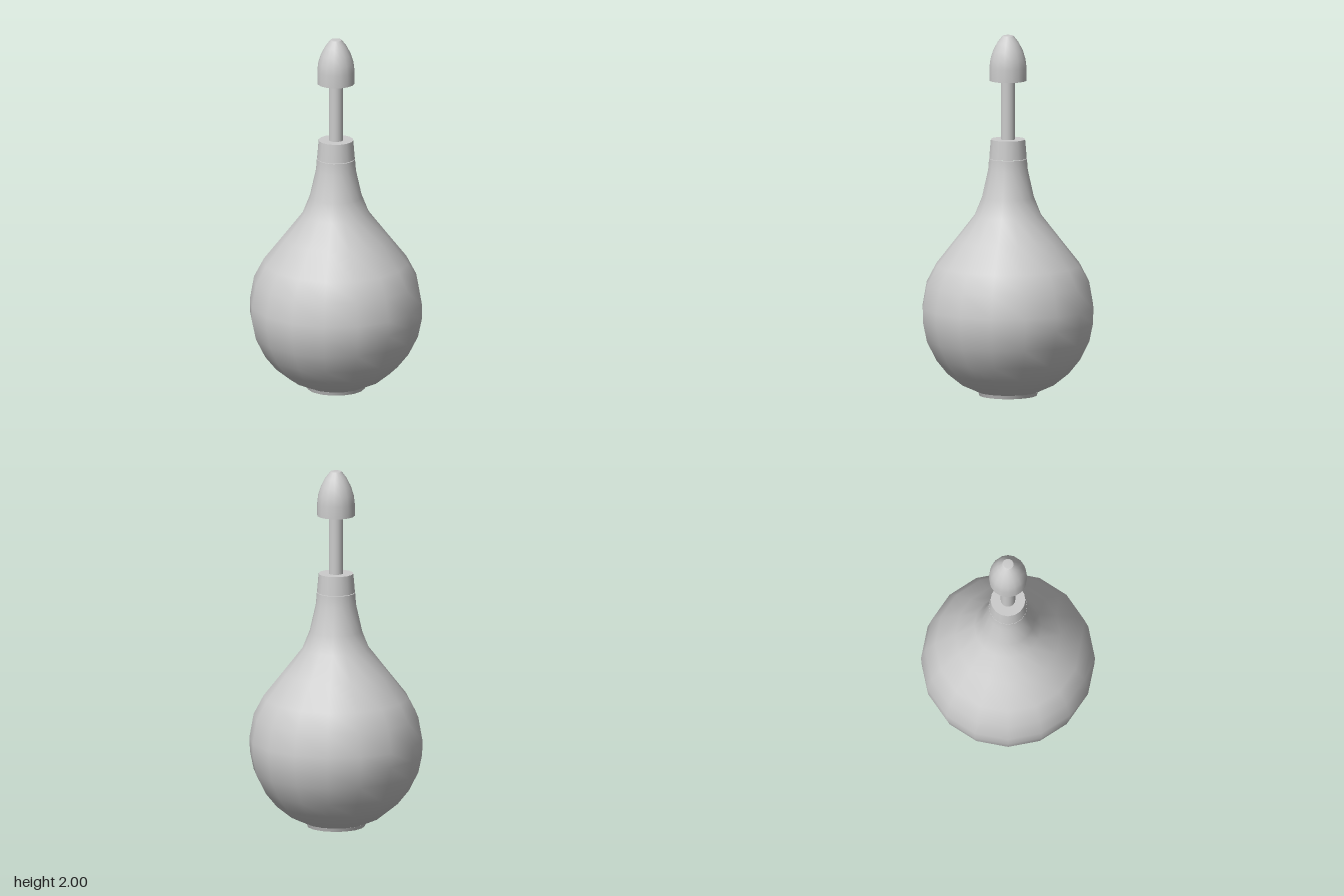
import * as THREE from 'three';

const SIDES = 16;

export function createModel() {
  const model = new THREE.Group();
  const material = new THREE.MeshStandardMaterial({ color: 0xcccccc });

  // Each smooth strip is its own lathe, so the edges between strips stay sharp.
  function turned(name, ...strips) {
    const part = new THREE.Group();
    part.name = name;
    strips.forEach((profile, i) => {
      const points = profile.map(([r, y]) => new THREE.Vector2(r, y));
      const mesh = new THREE.Mesh(new THREE.LatheGeometry(points, SIDES), material);
      mesh.name = `${name}Surface${i + 1}`;
      part.add(mesh);
    });
    model.add(part);
  }

  // Low round foot
  turned('foot',
    [[0, 0], [0.16, 0]],
    [[0.16, 0], [0.167, 0.02]],
    [[0.167, 0.02], [0.14, 0.02]]);

  // Squeezable bulb flowing into the neck
  turned('bulb',
    [[0.155, 0.015], [0.255, 0.06], [0.34, 0.128], [0.402, 0.205], [0.455, 0.31],
      [0.476, 0.41], [0.478, 0.49], [0.455, 0.62], [0.4, 0.725], [0.29, 0.865],
      [0.185, 1.0], [0.145, 1.1], [0.111, 1.25], [0.106, 1.315]],
    [[0.106, 1.315], [0.09, 1.315]]);

  // Tapered collar closing the neck
  turned('collar',
    [[0.09, 1.318], [0.105, 1.318]],
    [[0.105, 1.318], [0.096, 1.423]],
    [[0.096, 1.423], [0, 1.423]]);

  // Thin stem
  turned('stem', [[0.04, 1.42], [0.04, 1.752]]);

  // Bullet-shaped nozzle with a small flat end
  turned('nozzle',
    [[0, 1.75], [0.104, 1.75]],
    [[0.104, 1.75], [0.104, 1.82], [0.098, 1.868], [0.083, 1.915], [0.06, 1.96], [0.031, 1.998]],
    [[0.031, 1.998], [0.024, 2.0], [0, 2.0]]);

  return model;
}
